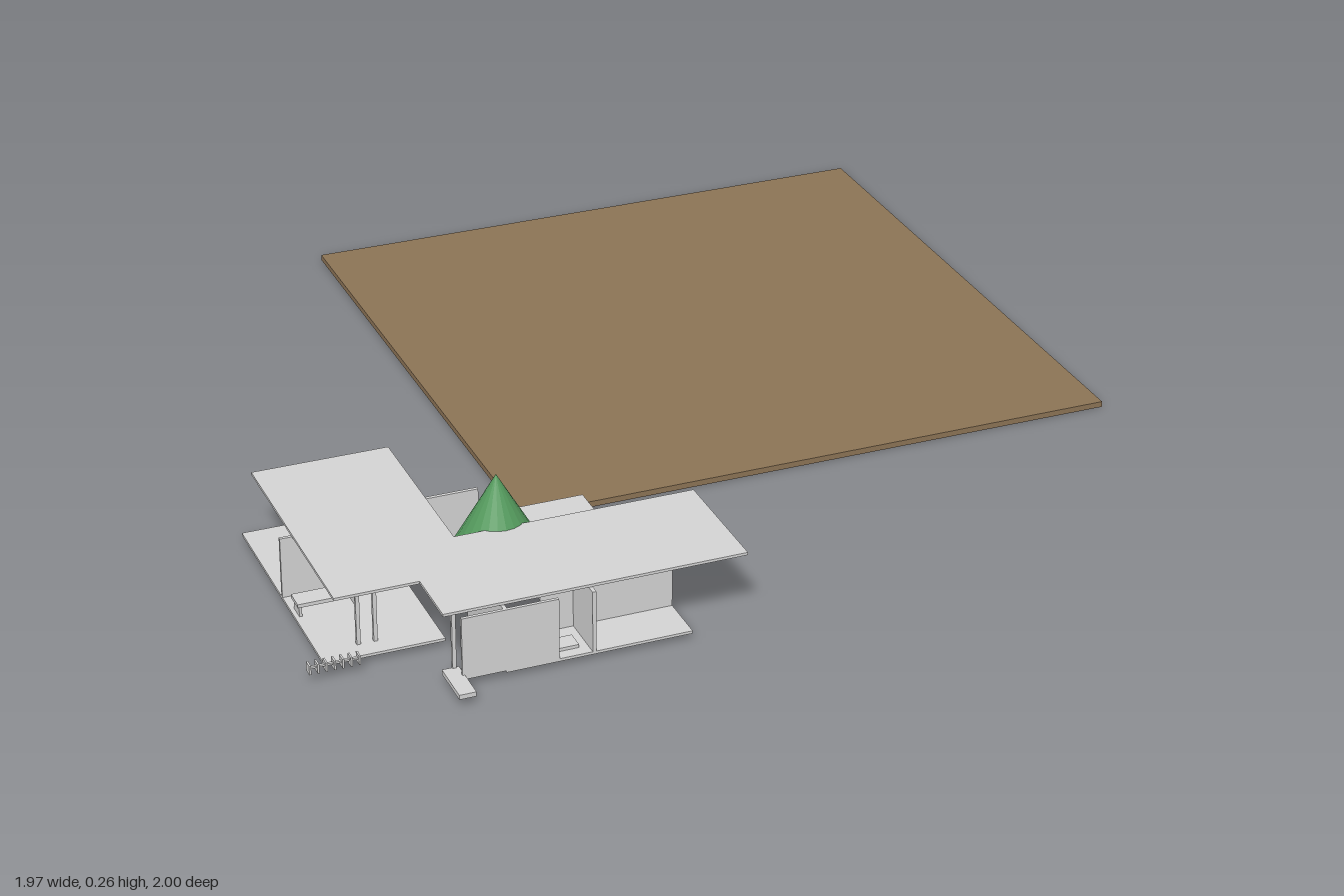
import * as THREE from 'three';

export function createModel() {
  const model = new THREE.Group();
  const mat = (name, color, extra = {}) => new THREE.MeshStandardMaterial({ name, color, ...extra });
  const concrete = mat('pale concrete', 0xd3d3d3);
  const earth = mat('earth brown', 0x8b7355);
  const leaf = mat('leaf green', 0x559b5e, { flatShading: true });
  const bark = mat('dark bark', 0x4a2f1b);

  const add = (name, geometry, material) => {
    const mesh = new THREE.Mesh(geometry, material);
    mesh.name = name;
    model.add(mesh);
    return mesh;
  };
  // Box given by its limits on each axis
  const box = (name, [x0, x1], [y0, y1], [z0, z1], material = concrete) =>
    add(name, new THREE.BoxGeometry(x1 - x0, y1 - y0, z1 - z0), material)
      .position.set((x0 + x1) / 2, (y0 + y1) / 2, (z0 + z1) / 2);

  // Ground plot
  box('ground', [-0.38, 0.985], [0, 0.013], [-1, 0.365], earth);

  // Floor slabs and entrance step
  const slab = [0.013, 0.019];
  box('wingFloor', [-0.945, -0.695], slab, [0.23, 0.78]);
  box('terraceFloor', [-0.625, -0.235], slab, [0.34, 0.66]);
  box('frontFloor', [-0.625, -0.235], slab, [0.72, 0.935]);
  box('entranceStep', [-0.745, -0.71], [0.017, 0.027], [0.9, 1]);

  // L-shaped flat roof
  const outline = [[-0.92, 0.235], [-0.625, 0.235], [-0.625, 0.64], [-0.11, 0.64],
    [-0.11, 0.915], [-0.745, 0.915], [-0.745, 0.78], [-0.92, 0.78]];
  const shape = new THREE.Shape(outline.map(([x, z]) => new THREE.Vector2(x, -z)));
  const roof = new THREE.ExtrudeGeometry(shape, { depth: 0.006, bevelEnabled: false });
  roof.rotateX(-Math.PI / 2).translate(0, 0.153, 0);
  add('roof', roof, concrete);

  // Walls running across the house
  const wall = [0.017, 0.153];
  box('wingWall', [-0.945, -0.715], wall, [0.504, 0.511]);
  box('rearWall', [-0.73, -0.51], wall, [0.456, 0.464]);
  box('frontWall', [-0.715, -0.515], wall, [0.928, 0.935]);
  box('innerWall', [-0.515, -0.235], wall, [0.822, 0.83]);

  // Walls running front to back
  box('sideWall', [-0.628, -0.62], wall, [0.72, 0.935]);
  box('porchWall', [-0.446, -0.438], wall, [0.826, 0.935]);

  // Slim roof posts
  for (const [x, z] of [[-0.86, 0.735], [-0.825, 0.735], [-0.825, 0.5], [-0.72, 0.9]]) {
    box('post', [x - 0.004, x + 0.004], wall, [z - 0.004, z + 0.004]);
  }

  // Low furniture
  box('bench', [-0.94, -0.81], [0.042, 0.05], [0.555, 0.6]);
  for (const x of [-0.936, -0.82]) box('benchLeg', [x, x + 0.006], [0.019, 0.042], [0.56, 0.595]);
  box('seat', [-0.513, -0.465], [0.019, 0.026], [0.87, 0.91]);

  // Slatted rack beside the wing
  box('rackRail', [-0.985, -0.88], [0.03, 0.034], [0.802, 0.808]);
  for (let i = 0; i < 7; i++) {
    const x = -0.985 + i * 0.0168;
    box('rackSlat', [x, x + 0.004], [0.021, 0.041], [0.795, 0.815]);
  }

  // Courtyard tree
  add('treeTrunk', new THREE.CylinderGeometry(0.006, 0.006, 0.09, 10), bark).position.set(-0.52, 0.06, 0.6);
  add('treeCrown', new THREE.ConeGeometry(0.09, 0.157, 20), leaf).position.set(-0.52, 0.18, 0.6);

  return model;
}
